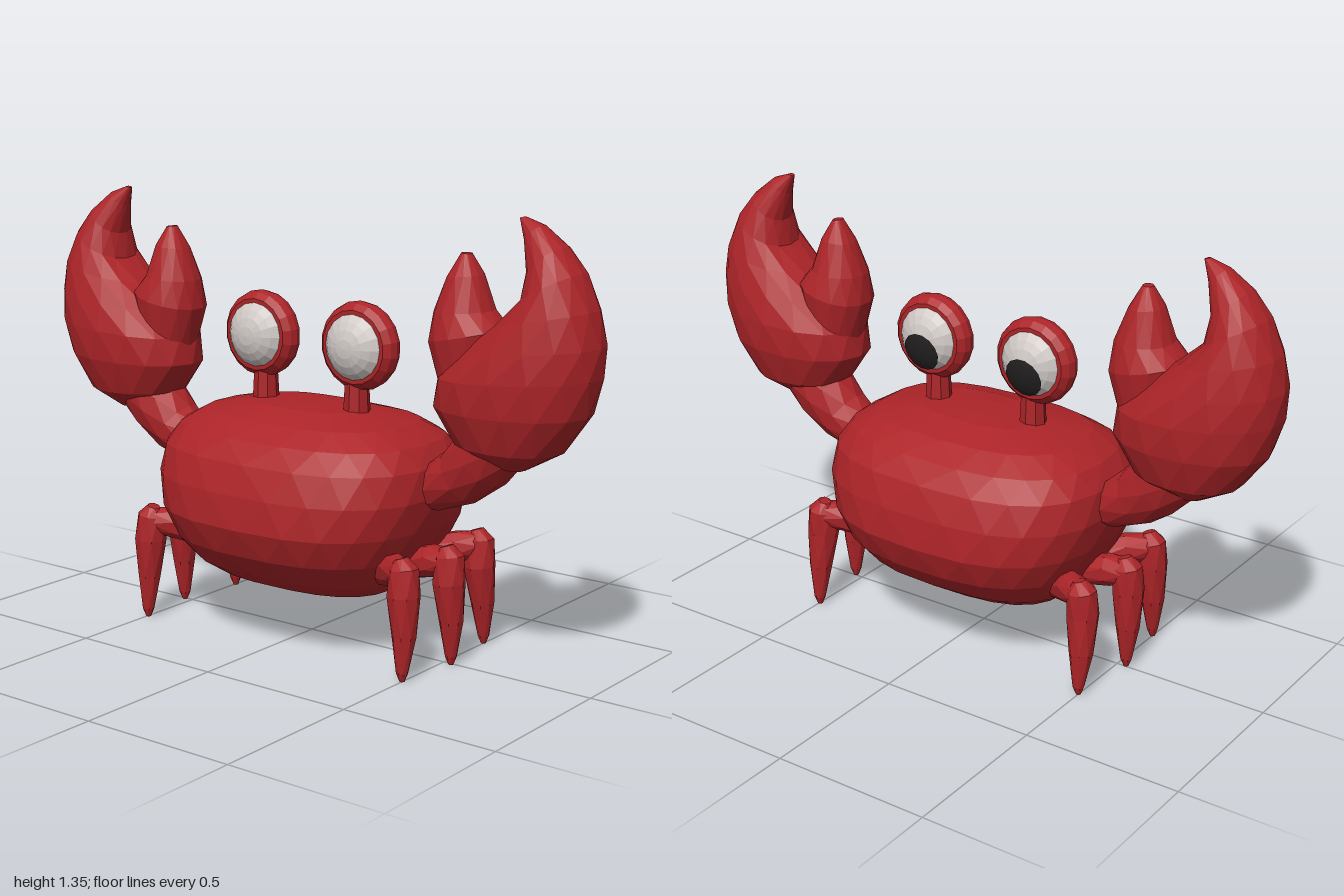
import * as THREE from 'three';

const V = (x, y, z) => new THREE.Vector3(x, y, z);
const paint = (name, color) => {
  const m = new THREE.MeshStandardMaterial({ color, flatShading: true });
  m.name = name;
  return m;
};

// Skin a list of rings { c, u, v }: centre and two half axes, power n squares the outline.
function loft(rings, seg, n = 2) {
  const pos = [], index = [];
  const pow = (t) => Math.sign(t) * Math.pow(Math.abs(t), 2 / n);
  rings.forEach(({ c, u, v }, i) => {
    for (let j = 0; j < seg; j++) {
      const a = ((j + (i % 2) / 2) / seg) * Math.PI * 2;
      const p = c.clone().addScaledVector(u, pow(Math.cos(a))).addScaledVector(v, pow(Math.sin(a)));
      pos.push(p.x, p.y, p.z);
    }
  });
  const last = (rings.length - 1) * seg, start = rings.length * seg;
  for (const r of [rings[0], rings[rings.length - 1]]) pos.push(r.c.x, r.c.y, r.c.z);
  for (let j = 0; j < seg; j++) {
    const k = (j + 1) % seg;
    for (let i = 0; i < rings.length - 1; i++) {
      const a = i * seg + j, b = i * seg + k, d = a + seg, e = b + seg;
      // staggered rings, so the diagonal alternates
      if (i % 2) index.push(a, b, e, a, e, d);
      else index.push(a, b, d, b, e, d);
    }
    index.push(start, k, j, start + 1, last + j, last + k);
  }
  const g = new THREE.BufferGeometry();
  g.setAttribute('position', new THREE.Float32BufferAttribute(pos, 3));
  g.setIndex(index);
  g.computeVertexNormals();
  return g;
}

// Round tapered limb through points [x, y, z, radius].
function limb(points, seg) {
  const c = points.map((p) => V(p[0], p[1], p[2]));
  return loft(c.map((p, i) => {
    const w = c[Math.min(i + 1, c.length - 1)].clone().sub(c[Math.max(i - 1, 0)]).normalize();
    const u = w.clone().cross(V(0, 0, 1)).normalize();
    const v = w.clone().cross(u);
    return { c: p, u: u.multiplyScalar(points[i][3]), v: v.multiplyScalar(points[i][3]) };
  }), seg);
}

// Flattened claw piece from sections [xInner, yInner, xOuter, yOuter, halfDepth].
const clawPiece = (sections) => loft(sections.map(([x0, y0, x1, y1, h]) => ({
  c: V((x0 + x1) / 2, (y0 + y1) / 2, 0.005),
  u: V((x1 - x0) / 2, (y1 - y0) / 2, 0),
  v: V(0, 0, -h),
})), 14, 2.15);

// Mirror across x and restore the winding.
function mirrored(geo) {
  const g = geo.clone().scale(-1, 1, 1);
  const ix = g.index.array;
  for (let i = 0; i < ix.length; i += 3) [ix[i], ix[i + 1]] = [ix[i + 1], ix[i]];
  g.computeVertexNormals();
  return g;
}

export function createModel() {
  const model = new THREE.Group();
  model.name = 'crab';
  const red = paint('shellRed', 0xac2428);
  const white = paint('eyeWhite', 0xcfc8c5);
  const black = paint('pupilBlack', 0x231f20);

  const add = (name, geo, mat, parent = model) => {
    const m = new THREE.Mesh(geo, mat);
    m.name = name;
    parent.add(m);
    return m;
  };
  const addPair = (name, geo) => {
    add(name + 'Left', geo, red);
    add(name + 'Right', mirrored(geo), red);
  };

  // Body: rounded box shell, [height, half width, half depth]
  const shell = [
    [0.175, 0.18, 0.1], [0.195, 0.31, 0.2], [0.24, 0.365, 0.27], [0.32, 0.41, 0.345],
    [0.41, 0.45, 0.382], [0.51, 0.475, 0.37], [0.6, 0.465, 0.34], [0.66, 0.425, 0.29],
    [0.705, 0.35, 0.22], [0.735, 0.2, 0.12], [0.74, 0.08, 0.05],
  ];
  add('body', loft(shell.map(([y, rx, rz]) => ({
    c: V(0, y, 0), u: V(0, 0, rz), v: V(rx, 0, 0),
  })), 22, 2.7), red);

  // Arms
  addPair('arm', limb([
    [0.38, 0.54, 0, 0.07], [0.47, 0.545, 0, 0.075], [0.55, 0.585, 0, 0.088],
    [0.62, 0.645, 0, 0.1], [0.68, 0.71, 0, 0.1],
  ], 10));

  // Claws: palm with the large finger, then the small finger
  addPair('claw', clawPiece([
    [0.68, 0.645, 0.77, 0.635, 0.05], [0.55, 0.7, 0.88, 0.695, 0.13],
    [0.48, 0.8, 0.965, 0.81, 0.165], [0.49, 0.885, 0.995, 0.92, 0.17],
    [0.58, 0.97, 1, 1.01, 0.155], [0.68, 1.05, 0.98, 1.11, 0.132],
    [0.76, 1.12, 0.935, 1.21, 0.105], [0.775, 1.2, 0.88, 1.28, 0.075],
    [0.755, 1.29, 0.81, 1.335, 0.037], [0.735, 1.35, 0.75, 1.355, 0.01],
  ]));
  addPair('pincer', clawPiece([
    [0.5, 0.83, 0.66, 0.9, 0.09], [0.455, 0.98, 0.69, 1.03, 0.11],
    [0.468, 1.07, 0.645, 1.08, 0.088], [0.505, 1.17, 0.61, 1.18, 0.055],
    [0.545, 1.24, 0.575, 1.238, 0.018],
  ]));

  // Legs: [knee x, hip z, knee z, foot z]
  const legs = [[0.49, 0.09, 0.2, 0.215], [0.52, 0, 0.01, 0.005], [0.49, -0.1, -0.2, -0.22]];
  legs.forEach(([x, hip, knee, foot], i) => {
    const name = ['front', 'middle', 'rear'][i];
    addPair(name + 'Thigh', limb([
      [0.33, 0.28, hip, 0.045], [x - 0.06, 0.315, hip + (knee - hip) * 0.6, 0.05],
      [x, 0.325, knee, 0.042],
    ], 8));
    addPair(name + 'Shin', limb([
      [x - 0.01, 0.37, knee, 0.02], [x, 0.34, knee, 0.045], [x + 0.003, 0.26, knee + 0.004, 0.05],
      [x + 0.008, 0.14, (knee + foot) / 2, 0.037], [x + 0.008, 0.03, foot, 0.018],
      [x + 0.008, 0.005, foot, 0.008],
    ], 8));
  });

  // Eyes: stalk, red rim, white bulge on both faces, pupil on the back
  const rim = [[0, -0.04], [0.112, -0.04], [0.13, -0.022], [0.136, 0], [0.13, 0.022], [0.112, 0.04], [0, 0.04]]
    .map(([x, y]) => new THREE.Vector2(x, y));
  for (const s of [1, -1]) {
    const eye = new THREE.Group();
    eye.name = s > 0 ? 'eyeLeft' : 'eyeRight';
    eye.position.set(0.188 * s, 0.932, 0.006);
    model.add(eye);
    add('eyeStalk', new THREE.CylinderGeometry(0.035, 0.044, 0.18, 8), red, eye)
      .position.set(-0.012 * s, -0.16, 0);
    add('eyeRim', new THREE.LatheGeometry(rim, 18).rotateX(Math.PI / 2), red, eye);
    add('eyeball', new THREE.SphereGeometry(1, 16, 12).rotateX(Math.PI / 2)
      .scale(0.113, 0.113, 0.086), white, eye);
    add('pupil', new THREE.SphereGeometry(1.04, 14, 4, 0, Math.PI * 2, 0, 0.56)
      .rotateX(-Math.PI / 2 - 0.33).scale(0.113, 0.118, 0.086), black, eye);
  }
  return model;
}
